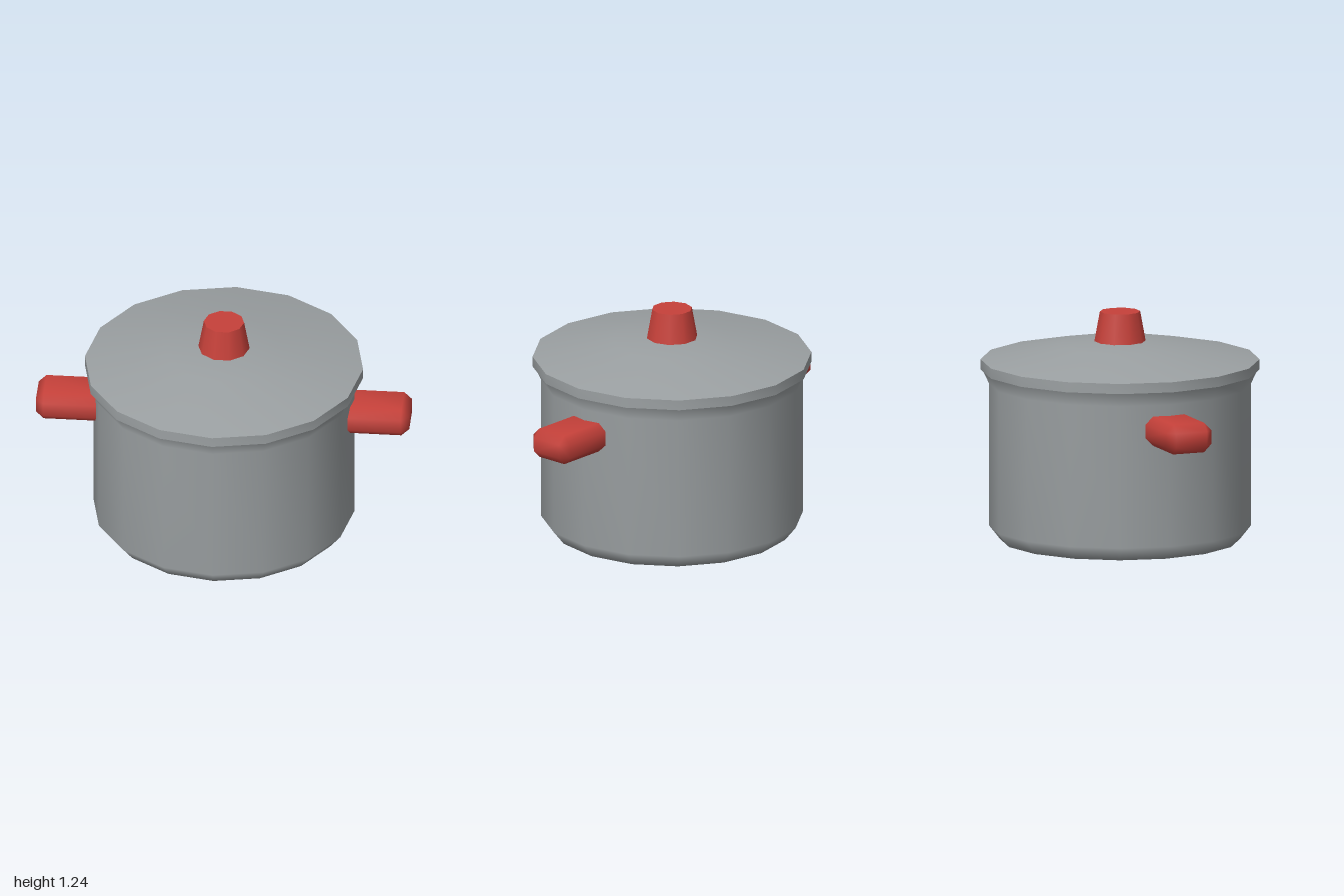
import * as THREE from 'three';
import { mergeVertices, toCreasedNormals } from 'three/addons/utils/BufferGeometryUtils.js';
import { ConvexGeometry } from 'three/addons/geometries/ConvexGeometry.js';

const SIDES = 16;

// Lathe from [radius, height] pairs, bottom to top
function lathe(pairs) {
  return new THREE.LatheGeometry(pairs.map(([r, y]) => new THREE.Vector2(r, y)), SIDES);
}

// Shared vertices with area-weighted smooth normals
function smooth(geometry) {
  geometry.deleteAttribute('normal');
  geometry.deleteAttribute('uv');
  const merged = mergeVertices(geometry, 1e-4);
  merged.computeVertexNormals();
  return merged;
}

// Box with every edge cut at 45 degrees
function chamferBox(w, h, d, c) {
  const points = [];
  for (const sx of [-1, 1]) for (const sy of [-1, 1]) for (const sz of [-1, 1]) {
    for (let axis = 0; axis < 3; axis++) {
      const cut = [c, c, c];
      cut[axis] = 0;
      points.push(new THREE.Vector3(
        sx * (w / 2 - cut[0]), sy * (h / 2 - cut[1]), sz * (d / 2 - cut[2])));
    }
  }
  return smooth(new ConvexGeometry(points));
}

export function createModel() {
  const model = new THREE.Group();
  model.name = 'cookingPot';

  const steel = new THREE.MeshStandardMaterial({ color: 0x9ba0a2 });
  steel.name = 'greySteel';
  const red = new THREE.MeshStandardMaterial({ color: 0xc6413a });
  red.name = 'redGrip';

  const add = (name, geometry, material, x = 0, y = 0) => {
    const mesh = new THREE.Mesh(geometry, material);
    mesh.name = name;
    mesh.position.set(x, y, 0);
    model.add(mesh);
    return mesh;
  };

  // Pot body with bevelled base and flared mouth
  add('body', smooth(lathe([
    [0, 0], [0.64, 0], [0.7, 0.075], [0.7, 0.845], [0.737, 0.925],
  ])), steel);

  // Shallow domed lid with a sharp rim
  add('lid', toCreasedNormals(lathe([
    [0, 0.92], [0.745, 0.92], [0.745, 0.975], [0.32, 1.06], [0.13, 1.075], [0, 1.077],
  ]), 0.7), steel);

  // Tapered lid knob
  add('knob', new THREE.CylinderGeometry(0.108, 0.138, 0.165, 10, 1, false, Math.PI / 2),
    red, 0, 1.1525);

  // Side handles, sunk into the wall
  for (const [name, side] of [['leftHandle', 1], ['rightHandle', -1]]) {
    add(name, chamferBox(0.4, 0.16, 0.262, 0.042), red, side * 0.8, 0.705);
  }

  return model;
}
